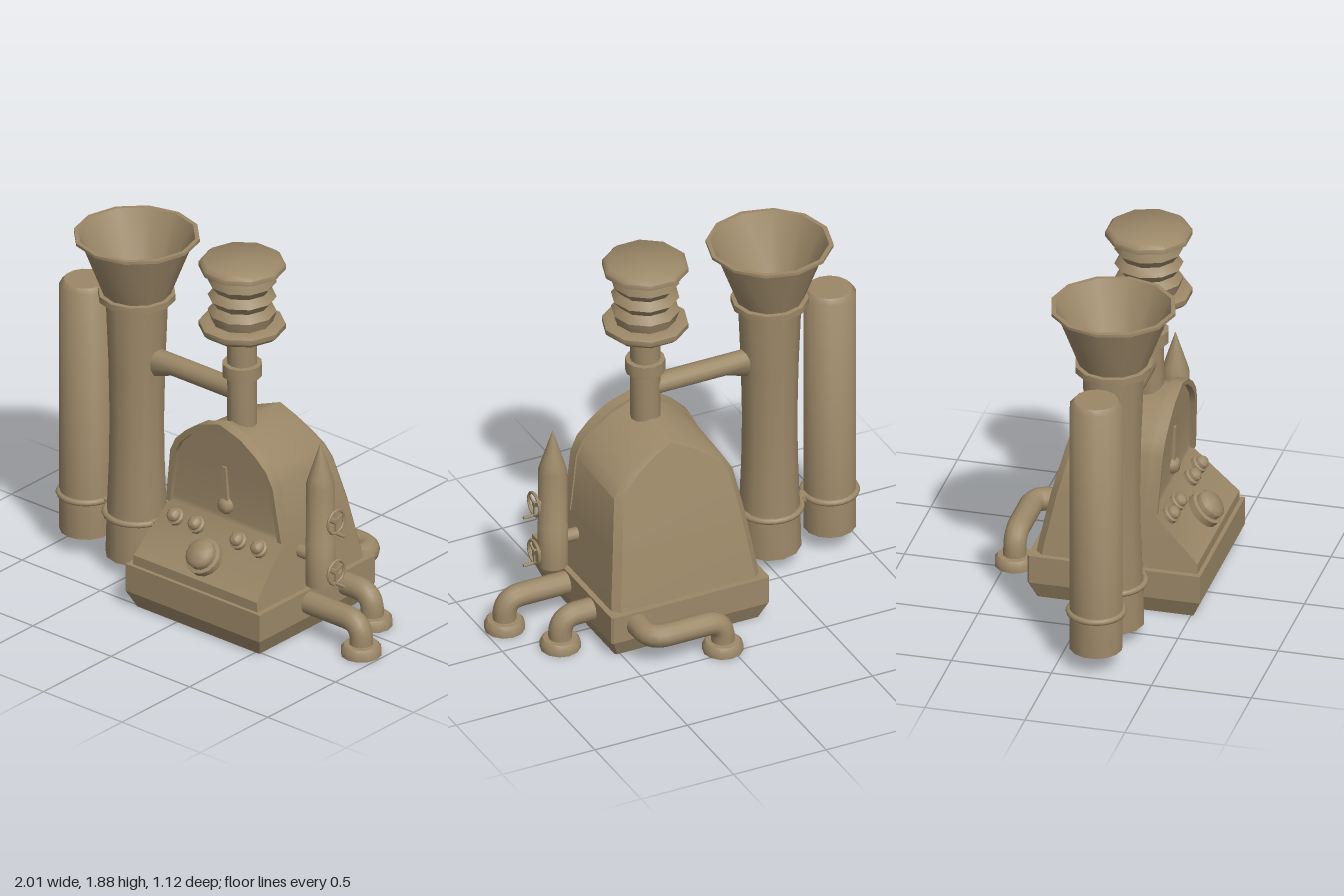
import * as THREE from 'three';
import { toCreasedNormals } from 'three/addons/utils/BufferGeometryUtils.js';

const V = (x, y, z) => new THREE.Vector3(x, y, z);
const material = new THREE.MeshStandardMaterial({ color: 0x9c8868 });
const CX = 0.135; // middle of the machine body
const CZ = 0.187; // line on which the columns stand

export function createModel() {
  const model = new THREE.Group();

  function add(name, geometry, x = 0, y = 0, z = 0, parent = model, crease = 0.85) {
    const mesh = new THREE.Mesh(toCreasedNormals(geometry, crease), material);
    mesh.name = name;
    mesh.position.set(x, y, z);
    parent.add(mesh);
    return mesh;
  }

  const lathe = (profile, sides, start = 0) =>
    new THREE.LatheGeometry(profile.map(([r, y]) => new THREE.Vector2(r, y)), sides, start);

  // Stacked rectangles [halfWidth, frontY, frontZ, backY, backZ] with bevelled back corners
  function loft(levels, bevel) {
    const n = 6, pos = [], index = [];
    for (const [w, yf, zf, yb, zb] of levels) {
      const c = Math.min(bevel, w * 0.5);
      pos.push(-w, yf, zf, w, yf, zf, w, yb, zb + c, w - c, yb, zb, c - w, yb, zb, -w, yb, zb + c);
    }
    for (let j = 0; j < levels.length - 1; j++) {
      for (let i = 0; i < n; i++) {
        const a = j * n + i, b = j * n + (i + 1) % n;
        index.push(a, b, b + n, a, b + n, a + n);
      }
    }
    const top = (levels.length - 1) * n;
    for (let i = 1; i < n - 1; i++) index.push(0, i + 1, i, top, top + i, top + i + 1);
    const g = new THREE.BufferGeometry();
    g.setAttribute('position', new THREE.Float32BufferAttribute(pos, 3));
    g.setIndex(index);
    return g;
  }

  // Round pipe through corner points, each corner rounded off
  function pipe(points, radius, bend) {
    const path = new THREE.CurvePath();
    let from = points[0];
    for (let i = 1; i < points.length - 1; i++) {
      const p = points[i];
      const a = p.clone().add(points[i - 1].clone().sub(p).setLength(bend));
      const b = p.clone().add(points[i + 1].clone().sub(p).setLength(bend));
      path.add(new THREE.LineCurve3(from, a));
      path.add(new THREE.QuadraticBezierCurve3(a, p, b));
      from = b;
    }
    path.add(new THREE.LineCurve3(from, points[points.length - 1]));
    return new THREE.TubeGeometry(path, 28, radius, 12);
  }

  // Base and hood
  add('base', loft([
    [0.39, 0, 0.512, 0, -0.272], [0.427, 0.09, 0.555, 0.09, -0.31],
    [0.427, 0.235, 0.555, 0.235, -0.31],
  ], 0.01), CX, 0, 0, model, 0.3);
  add('body', loft([
    [0.402, 0.2, 0.535, 0.2, -0.285], [0.393, 0.285, 0.535, 0.285, -0.27],
    [0.362, 0.515, 0.305, 0.515, -0.222], [0.358, 0.54, 0.3, 0.55, -0.215],
    [0.32, 0.8, 0.312, 0.78, -0.153], [0.283, 0.87, 0.316, 0.845, -0.137],
    [0.218, 0.932, 0.319, 0.9, -0.122], [0.125, 0.995, 0.322, 0.96, -0.106],
    [0.005, 1.04, 0.325, 1.002, -0.095],
  ], 0.035), CX, 0, 0, model, 0.75);

  // Raised rim around the dial panel, leaning forward with height
  const arch = [[0.368, 0.515], [0.327, 0.805], [0.29, 0.88], [0.224, 0.945], [0.13, 1.01], [0, 1.052]];
  const outer = [...arch, ...arch.slice(0, -1).reverse().map(([x, y]) => [-x, y])];
  const inner = outer.map(([x, y]) => [x - Math.sign(x) * 0.025, y > 0.52 ? y - 0.018 : y]).reverse();
  const rim = new THREE.ExtrudeGeometry(
    new THREE.Shape([...outer, ...inner].map(([x, y]) => new THREE.Vector2(x, y))),
    { depth: 0.06, bevelEnabled: false });
  const rp = rim.attributes.position;
  for (let i = 0; i < rp.count; i++) rp.setZ(i, rp.getZ(i) + 0.265 + (rp.getY(i) - 0.515) * 0.056);
  add('panelRim', rim, CX, 0, 0, model, 0.7);

  // Gauge needle and pivot
  const gauge = new THREE.Group();
  gauge.name = 'gauge';
  gauge.position.set(CX, 0.6, 0.302);
  model.add(gauge);
  const needle = new THREE.Shape([[-0.026, 0], [0.026, 0], [0.011, 0.21], [-0.011, 0.21]]
    .map(([x, y]) => new THREE.Vector2(x, y)));
  add('needle', new THREE.ExtrudeGeometry(needle, { depth: 0.022, bevelEnabled: false }), 0, 0, 0, gauge);
  add('needlePivot', lathe([[0.045, -0.01], [0.045, 0.015], [0.03, 0.035], [0, 0.04]], 12), 0, 0, 0, gauge)
    .rotation.x = Math.PI / 2;

  // Console knobs, square to the 45 degree slope
  for (const x of [-0.134, 0, 0.267, 0.4]) {
    add('smallKnob', lathe([[0.044, -0.01], [0.044, 0.02], [0.034, 0.026], [0.034, 0.045], [0.02, 0.06], [0, 0.064]], 12),
      x, 0.462, 0.358).rotation.x = Math.PI / 4;
  }
  add('largeKnob', lathe([[0.094, -0.01], [0.094, 0.035], [0.076, 0.04], [0.076, 0.07], [0.058, 0.088], [0, 0.098]], 14),
    CX, 0.365, 0.455).rotation.x = Math.PI / 4;

  // Chimney with collar and bellows cap
  add('chimneyStem', lathe([[0.074, 0.95], [0.074, 1.26], [0.098, 1.262], [0.098, 1.328], [0.074, 1.33], [0.074, 1.52]], 12), CX, 0, CZ);
  const cap = [[0, 1.5], [0.19, 1.5], [0.212, 1.52], [0.212, 1.545], [0.19, 1.555], [0.15, 1.557]];
  for (let i = 0; i < 3; i++) cap.push([0.168, 1.61 + i * 0.08], [i < 2 ? 0.137 : 0.15, i < 2 ? 1.65 + i * 0.08 : 1.828]);
  cap.push([0.19, 1.83], [0.212, 1.84], [0.212, 1.865], [0.19, 1.885], [0, 1.885]);
  add('bellowsCap', lathe(cap, 10, Math.PI / 10), CX, 0, CZ);

  // Funnel column, open at the top
  add('funnelColumn', lathe([
    [0, 0.075], [0.154, 0.075], [0.148, 0.3], [0.138, 0.55], [0.134, 0.8], [0.14, 1.1], [0.154, 1.455],
    [0.19, 1.457], [0.19, 1.49], [0.168, 1.492], [0.275, 1.772], [0.31, 1.785], [0.31, 1.8],
    [0.288, 1.8], [0.135, 1.5], [0, 1.5],
  ], 12), -0.538, 0, CZ);

  // Plain side cylinder
  add('sideCylinder', lathe([[0, 0.1], [0.13, 0.1], [0.13, 1.425], [0.108, 1.45], [0, 1.45]], 14), -0.862, 0, CZ);

  // Cross pipe, its underside flaring down at the funnel column
  const cross = lathe([[0.052, 0], [0.052, 0.38], [0.052, 0.5]], 12);
  cross.rotateZ(Math.PI / 2);
  const cp = cross.attributes.position;
  for (let i = 0; i < cp.count; i++) {
    if (cp.getX(i) < -0.45 && cp.getY(i) < -0.01) cp.setY(i, cp.getY(i) * 1.9);
  }
  add('crossPipe', cross, 0.085, 1.167, CZ);

  // Clamp rings and the bracket plate holding both columns
  for (const [x, r] of [[-0.538, 0.155], [-0.862, 0.132]]) {
    add('clampRing', new THREE.TorusGeometry(r, 0.016, 8, 24).rotateX(Math.PI / 2), x, 0.3, CZ);
  }
  add('bracketPlate', new THREE.BoxGeometry(0.2, 0.03, 0.12), -0.31, 0.3, CZ);
  add('clampLink', new THREE.BoxGeometry(0.07, 0.03, 0.06), -0.71, 0.3, CZ);

  // Pointed tank and its feed pipe
  add('pointedTank', lathe([[0, 0.295], [0.074, 0.295], [0.074, 0.53], [0.071, 0.535], [0.071, 0.83], [0.06, 0.87], [0, 1.055]], 12), 0.635, 0, CZ);
  add('tankFeed', new THREE.CylinderGeometry(0.034, 0.034, 0.16, 10).rotateZ(Math.PI / 2), 0.52, 0.43, CZ);

  // Valve wheels with three spokes and a crank handle
  for (const y of [0.66, 0.388]) {
    const valve = new THREE.Group();
    valve.name = 'valveWheel';
    valve.position.set(0.735, y, CZ);
    model.add(valve);
    add('wheelRim', new THREE.TorusGeometry(0.06, 0.008, 6, 16).rotateY(Math.PI / 2), 0, 0, 0, valve);
    add('wheelHub', new THREE.CylinderGeometry(0.015, 0.015, 0.05, 8).rotateZ(Math.PI / 2), -0.02, 0, 0, valve);
    for (let i = 0; i < 3; i++) {
      add('wheelSpoke', new THREE.BoxGeometry(0.008, 0.06, 0.012).translate(0, 0.03, 0), 0, 0, 0, valve)
        .rotation.x = Math.PI + i * Math.PI * 2 / 3;
    }
    add('crankHandle', new THREE.CylinderGeometry(0.008, 0.008, 0.06, 8).rotateZ(Math.PI / 2), 0.028, -0.062, 0, valve);
  }

  // Outlet pipes ending in floor flanges
  const Y = 0.168;
  const outlets = [
    [V(0.5, Y, CZ), V(0.895, Y, CZ), V(0.895, 0.02, CZ)],
    [V(0.5, Y, -0.085), V(0.73, Y, -0.085), V(0.73, 0.02, -0.085)],
    [V(0.425, Y, -0.25), V(0.425, Y, -0.458), V(0.038, Y, -0.458), V(0.038, 0.02, -0.458)],
  ];
  for (const points of outlets) {
    add('outletPipe', pipe(points, 0.058, 0.09));
    const end = points[points.length - 1];
    add('outletFlange', lathe([[0, 0], [0.1, 0], [0.1, 0.035], [0.085, 0.055], [0.05, 0.057]], 12), end.x, 0, end.z);
  }

  return model;
}
